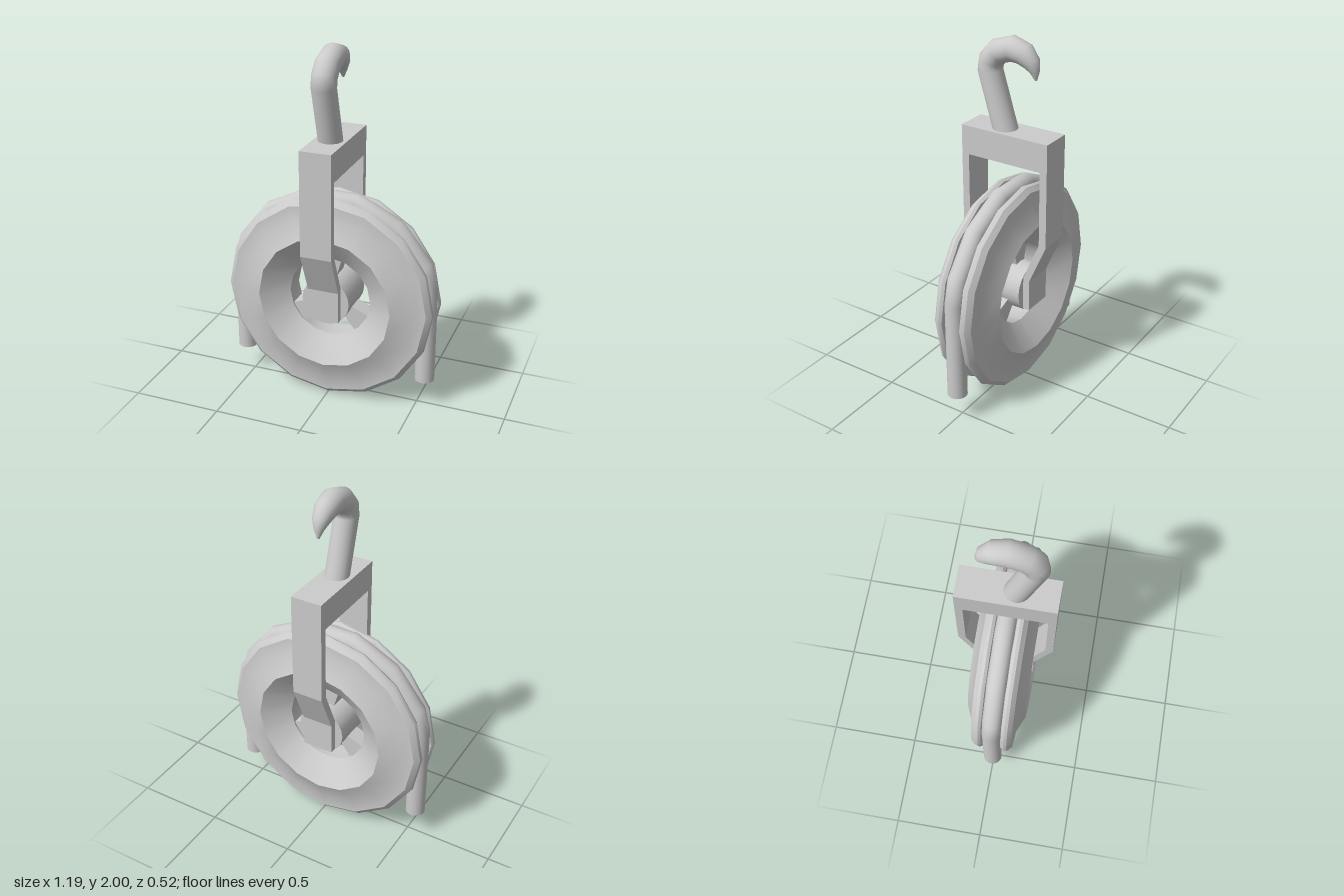
import * as THREE from 'three';
import { toCreasedNormals } from 'three/addons/utils/BufferGeometryUtils.js';

const AXLE_Y = 0.6;
const material = new THREE.MeshStandardMaterial({ color: 0xcccccc });

function addMesh(parent, name, geometry) {
  const mesh = new THREE.Mesh(geometry, material);
  mesh.name = name;
  parent.add(mesh);
  return mesh;
}

// Round bar swept along a planar path. Each stop is [u, y, radius]; the bar is
// built in the (u, y) plane with mitred, smooth-shaded rings and flat caps.
function sweepBar(stops, sides = 20) {
  const pos = [];
  const index = [];
  const pts = stops.map(([u, y]) => new THREE.Vector2(u, y));
  const ring = (i) => {
    const t = new THREE.Vector2();
    if (i > 0) t.add(pts[i].clone().sub(pts[i - 1]).normalize());
    if (i < pts.length - 1) t.add(pts[i + 1].clone().sub(pts[i]).normalize());
    t.normalize();
    const r = stops[i][2];
    for (let k = 0; k < sides; k++) {
      const a = (k / sides) * Math.PI * 2;
      const c = Math.cos(a) * r;
      pos.push(pts[i].x - t.y * c, pts[i].y + t.x * c, Math.sin(a) * r);
    }
  };
  stops.forEach((_, i) => ring(i));
  for (let i = 0; i < stops.length - 1; i++) {
    for (let k = 0; k < sides; k++) {
      const a = i * sides + k;
      const b = i * sides + ((k + 1) % sides);
      index.push(a, b, a + sides, b, b + sides, a + sides);
    }
  }
  // end caps
  for (const end of [0, stops.length - 1]) {
    const base = pos.length / 3;
    ring(end);
    for (let k = 1; k < sides - 1; k++) {
      if (end === 0) index.push(base, base + k + 1, base + k);
      else index.push(base, base + k, base + k + 1);
    }
  }
  const g = new THREE.BufferGeometry();
  g.setAttribute('position', new THREE.Float32BufferAttribute(pos, 3));
  g.setIndex(index);
  g.computeVertexNormals();
  return g;
}

// Pulley wheel: dished ring with a rope groove, hub and three spokes
function buildWheel() {
  const wheel = new THREE.Group();
  wheel.name = 'wheel';
  wheel.position.y = AXLE_Y;

  // half profile as [radius, z], from the groove outwards and into the bore
  const half = [
    [0.53, 0.045], [0.56, 0.05], [0.587, 0.056], [0.596, 0.072], [0.592, 0.09],
    [0.565, 0.114], [0.49, 0.116], [0.38, 0.164], [0.235, 0.06],
  ];
  const profile = [
    ...half.map(([r, z]) => [r, -z]).reverse(), ...half, [0.235, -0.06],
  ].map(([r, z]) => new THREE.Vector2(r, z));
  const rim = new THREE.LatheGeometry(profile, 16);
  rim.rotateX(Math.PI / 2);
  addMesh(wheel, 'rim', toCreasedNormals(rim, 0.396));

  const hub = new THREE.CylinderGeometry(0.135, 0.135, 0.25, 20);
  hub.rotateX(Math.PI / 2);
  addMesh(wheel, 'hub', hub);

  // spokes as ring sectors
  const rad = THREE.MathUtils.degToRad;
  const spread = 16;
  for (const mid of [90, 216.5, 323.5]) {
    const s = new THREE.Shape();
    s.absarc(0, 0, 0.25, rad(mid - spread), rad(mid + spread), false);
    s.absarc(0, 0, 0.11, rad(mid + spread), rad(mid - spread), true);
    const g = new THREE.ExtrudeGeometry(s, { depth: 0.1, bevelEnabled: false, curveSegments: 4 });
    g.translate(0, 0, -0.05);
    addMesh(wheel, 'spoke', g);
  }
  return wheel;
}

// Fork frame: one bent strap outline in the (z, y) plane, extruded across x
function buildFrame() {
  const outer = [[0.262, 1.5], [0.262, 0.915], [0.162, 0.68], [0.162, 0.5]];
  const inner = [[0.122, 0.5], [0.122, 0.69], [0.22, 0.92], [0.22, 1.34]];
  const side = [...outer, ...inner];
  const outline = [...side, ...side.map(([z, y]) => [-z, y]).reverse()];
  const shape = new THREE.Shape(outline.map(([z, y]) => new THREE.Vector2(z, y)));
  const g = new THREE.ExtrudeGeometry(shape, { depth: 0.175, bevelEnabled: false });
  g.translate(0, 0, -0.0875);
  g.rotateY(-Math.PI / 2);
  return g;
}

export function createModel() {
  const model = new THREE.Group();
  model.name = 'pulley';
  model.add(buildWheel());
  addMesh(model, 'forkFrame', buildFrame());

  // rope over the top of the wheel, hanging down on both sides
  const rope = [[-0.54, 0.16, 0.054], [-0.54, 0.72, 0.054]];
  for (let i = -2.5; i <= 2.5; i++) {
    const a = (i * Math.PI) / 7;
    rope.push([Math.sin(a) * 0.565, AXLE_Y + Math.cos(a) * 0.565, 0.054]);
  }
  rope.push([0.54, 0.72, 0.054], [0.54, 0.16, 0.054]);
  addMesh(model, 'rope', sweepBar(rope));

  // tapering hook that opens towards the back
  const hook = sweepBar([
    [0.04, 1.48, 0.066], [0.136, 1.8, 0.066], [0.128, 1.855, 0.067], [0.085, 1.905, 0.067],
    [0.0, 1.933, 0.067], [-0.07, 1.915, 0.06], [-0.113, 1.875, 0.045],
    [-0.132, 1.835, 0.026], [-0.138, 1.79, 0.006],
  ]);
  hook.rotateY(-Math.PI / 2);
  addMesh(model, 'hook', hook);
  return model;
}
